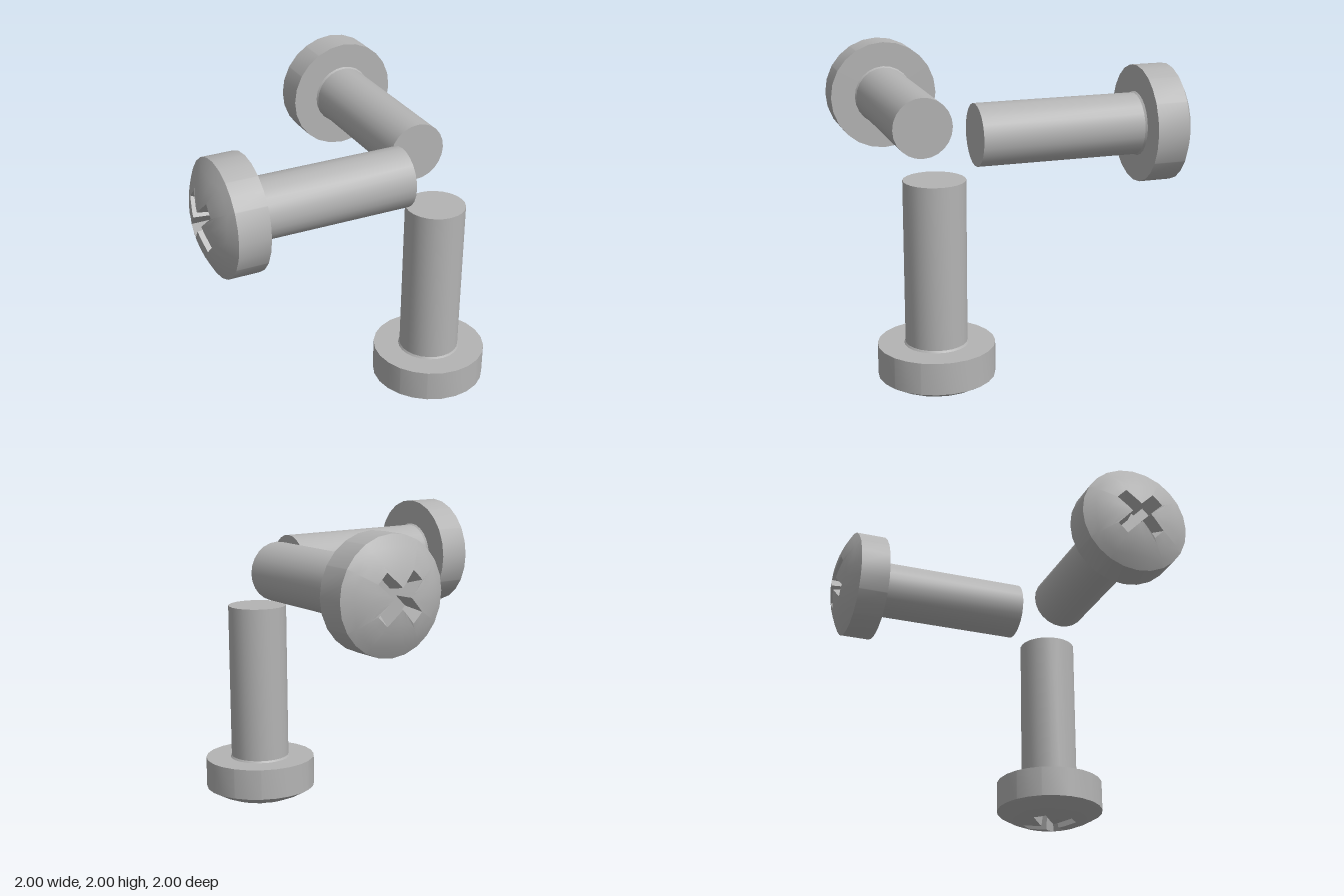
import * as THREE from 'three';
import { toCreasedNormals } from 'three/addons/utils/BufferGeometryUtils.js';

const HEAD_R = 0.37, SHAFT_R = 0.195, LENGTH = 1.37, UNDERSIDE = 0.315, SHOULDER = 0.11;
const ARM = 0.18, HALF_W = 0.045; // cross recess: arm length and half width
const CURVE = (HEAD_R ** 2 + SHOULDER ** 2) / (2 * SHOULDER); // dome sphere radius

const domeY = (r) => CURVE - Math.sqrt(CURVE ** 2 - r * r);

// Distance from the axis to the cross outline, arms lying on the diagonals
function crossRadius(t) {
  const c = Math.abs(Math.cos(t - Math.PI / 4)), s = Math.abs(Math.sin(t - Math.PI / 4));
  const along = Math.max(c, s), across = Math.min(c, s);
  return Math.min(ARM / along, HALF_W / Math.max(across, 1e-6));
}

// Head: loops from the underside, around the rim, over the dome and into the recess
function headGeometry() {
  const angles = [];
  for (let i = 0; i < 24; i++) angles.push((i * Math.PI) / 12);
  const tip = Math.atan(HALF_W / ARM);
  for (let q = 0; q < 4; q++) {
    const a = Math.PI / 4 + (q * Math.PI) / 2;
    angles.push(a - tip, a + tip);
  }
  angles.sort((a, b) => a - b);

  const loops = [
    () => [0, UNDERSIDE],
    () => [HEAD_R, UNDERSIDE],
    () => [HEAD_R, SHOULDER],
  ];
  for (const k of [0.25, 0.5, 0.75, 1]) {
    loops.push((t) => {
      const r = THREE.MathUtils.lerp(HEAD_R, crossRadius(t), k);
      return [r, domeY(r)];
    });
  }
  loops.push((t) => [crossRadius(t) * 0.7, 0.13], () => [0, 0.13]);

  const point = (loop, t) => {
    const [r, y] = loop(t);
    return [r * Math.cos(t), y, r * Math.sin(t)];
  };
  const pos = [];
  for (let i = 0; i < loops.length - 1; i++) {
    for (let j = 0; j < angles.length; j++) {
      const t0 = angles[j], t1 = angles[(j + 1) % angles.length];
      const a = point(loops[i], t0), b = point(loops[i], t1);
      const c = point(loops[i + 1], t0), d = point(loops[i + 1], t1);
      if (i > 0) pos.push(...a, ...b, ...c);
      if (i < loops.length - 2) pos.push(...b, ...d, ...c);
    }
  }
  const g = new THREE.BufferGeometry();
  g.setAttribute('position', new THREE.Float32BufferAttribute(pos, 3));
  return toCreasedNormals(g, 0.4);
}

// Shaft with a small fillet where it meets the head
function shaftGeometry() {
  const profile = [
    [SHAFT_R + 0.012, UNDERSIDE - 0.005],
    [SHAFT_R, UNDERSIDE + 0.012],
    [SHAFT_R, LENGTH],
    [0, LENGTH],
  ].map(([x, y]) => new THREE.Vector2(x, y));
  return toCreasedNormals(new THREE.LatheGeometry(profile, 24), 0.4);
}

export function createModel() {
  const steel = new THREE.MeshStandardMaterial({ color: 0xb4b4b4 });
  steel.name = 'steel grey';
  const head = headGeometry(), shaft = shaftGeometry();
  const model = new THREE.Group();
  model.name = 'threeScrews';

  const addScrew = (name, position, rotation) => {
    const screw = new THREE.Group();
    screw.name = name;
    for (const [part, geometry] of [['head', head], ['shaft', shaft]]) {
      const mesh = new THREE.Mesh(geometry, steel);
      mesh.name = part;
      screw.add(mesh);
    }
    screw.position.set(...position);
    screw.rotation.set(...rotation);
    model.add(screw);
  };

  // One screw along each axis, tips meeting around a common corner
  addScrew('uprightScrew', [0.63, 0, 0.63], [0, 0, 0]);
  addScrew('sidewaysScrew', [-1, 1.63, 0.63], [0, 0, -Math.PI / 2]);
  addScrew('backScrew', [0.63, 1.63, -1], [Math.PI / 2, 0, 0]);
  return model;
}
